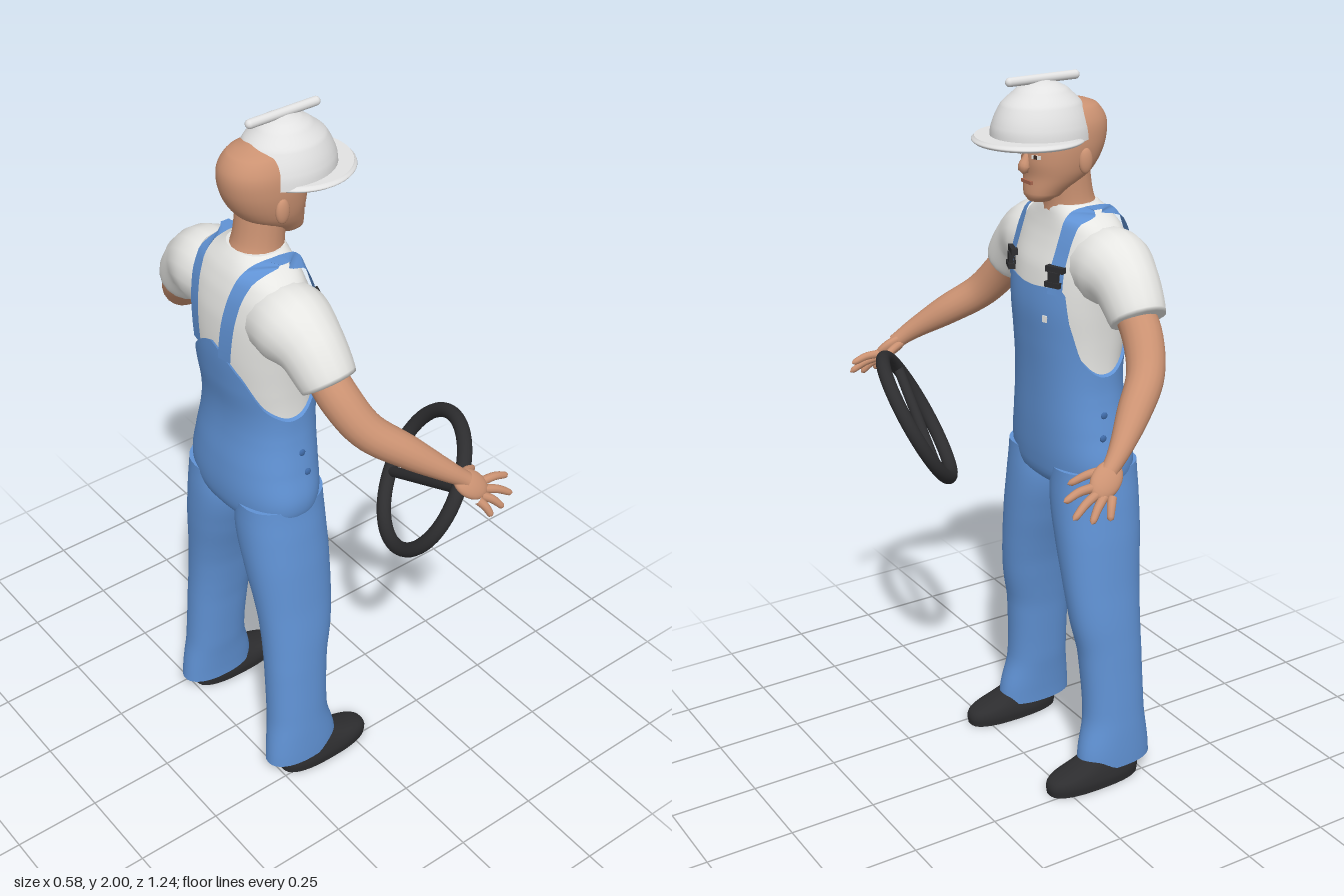
import * as THREE from 'three';
import { mergeVertices } from 'three/addons/utils/BufferGeometryUtils.js';

const mat = (name, color, side = THREE.FrontSide) => {
  const m = new THREE.MeshStandardMaterial({ color, side });
  m.name = name;
  return m;
};
const V = (x, y, z) => new THREE.Vector3(x, y, z);

// Smooth interpolation of table rows, keyed on the first column
function sampleAt(rows, k) {
  let i = 0;
  while (i < rows.length - 2 && k > rows[i + 1][0]) i++;
  const a = rows[Math.max(i - 1, 0)], b = rows[i], c = rows[i + 1], d = rows[Math.min(i + 2, rows.length - 1)];
  const t = THREE.MathUtils.clamp((k - b[0]) / (c[0] - b[0]), 0, 1);
  return b.map((_, n) => 0.5 * (2 * b[n] + (c[n] - a[n]) * t + (2 * a[n] - 5 * b[n] + 4 * c[n] - d[n]) * t * t
    + (3 * b[n] - a[n] - 3 * c[n] + d[n]) * t * t * t));
}

// Closed rings stacked upwards, with flat caps
function skin(nu, nv, fn) {
  const pos = [], idx = [];
  for (let j = 0; j <= nv; j++) for (let i = 0; i < nu; i++) pos.push(...fn((i / nu) * Math.PI * 2, j / nv));
  for (let j = 0; j < nv; j++) for (let i = 0; i < nu; i++) {
    const a = j * nu + i, b = j * nu + (i + 1) % nu;
    idx.push(a, a + nu, b, b, a + nu, b + nu);
  }
  for (const top of [0, 1]) {
    const start = pos.length / 3, c = [0, 0, 0];
    for (let i = 0; i < nu; i++) {
      const p = fn((i / nu) * Math.PI * 2, top);
      pos.push(...p);
      p.forEach((q, n) => { c[n] += q / nu; });
    }
    pos.push(...c);
    for (let i = 0; i < nu; i++) {
      const a = start + i, b = start + (i + 1) % nu;
      idx.push(start + nu, ...(top ? [b, a] : [a, b]));
    }
  }
  const g = new THREE.BufferGeometry();
  g.setAttribute('position', new THREE.Float32BufferAttribute(pos, 3));
  g.setIndex(idx);
  g.computeVertexNormals();
  return g;
}

// Rows are [y, centre x, centre z, radius x, radius z]
function ring([, cx, cz, rx, rz], y, a, p, grow = 0) {
  const f = (v) => Math.sign(v) * Math.abs(v) ** (2 / p);
  return [cx + (rx + grow) * f(Math.cos(a)), y, cz + (rz + grow) * f(Math.sin(a))];
}
function loft(rows, p = 2, nv = rows.length * 4, nu = 40) {
  const lo = rows[0][0], hi = rows[rows.length - 1][0];
  return skin(nu, nv, (a, t) => {
    const y = lo + (hi - lo) * t;
    return ring(sampleAt(rows, y), y, a, p);
  });
}
// x of a lofted surface at a height and sideways offset
function surfX(rows, y, z, p, dir = 1) {
  const [, cx, , rx, rz] = sampleAt(rows, y);
  return cx + dir * rx * Math.max(0, 1 - Math.abs(z / rz) ** p) ** (1 / p);
}

// Tapered tube through points, with a radius for each
function limb(points, radii, n = 28, m = 18) {
  const curve = new THREE.CatmullRomCurve3(points);
  let g = new THREE.TubeGeometry(curve, n, 1, m);
  const table = radii.map((r, i) => [i / (radii.length - 1), r]);
  const pos = g.attributes.position, v = V();
  for (let i = 0; i < pos.count; i++) {
    const u = Math.floor(i / (m + 1)) / n, c = curve.getPointAt(u);
    v.fromBufferAttribute(pos, i).sub(c).multiplyScalar(Math.max(0.0005, sampleAt(table, curve.getUtoTmapping(u))[1])).add(c);
    pos.setXYZ(i, v.x, v.y, v.z);
  }
  g.deleteAttribute('uv');
  g.deleteAttribute('normal');
  g = mergeVertices(g, 1e-5);
  g.computeVertexNormals();
  return g;
}

const TORSO = [[0.86, -0.16, 0, 0.06, 0.1], [0.9, -0.16, 0, 0.11, 0.185], [0.96, -0.16, 0, 0.122, 0.205],
  [1.05, -0.155, 0, 0.122, 0.188], [1.15, -0.147, 0, 0.116, 0.17], [1.22, -0.145, 0, 0.117, 0.165],
  [1.3, -0.148, 0, 0.126, 0.168], [1.4, -0.15, 0, 0.133, 0.178], [1.5, -0.155, 0, 0.125, 0.19],
  [1.57, -0.16, 0, 0.106, 0.19], [1.62, -0.157, 0, 0.09, 0.155], [1.65, -0.15, 0, 0.078, 0.1], [1.665, -0.145, 0, 0.068, 0.075]];
const HEAD = [[1.675, -0.05, 0, 0.03, 0.03], [1.69, -0.06, 0, 0.05, 0.05], [1.74, -0.098, 0, 0.085, 0.078],
  [1.78, -0.113, 0, 0.105, 0.09], [1.83, -0.124, 0, 0.113, 0.095], [1.88, -0.13, 0, 0.107, 0.09],
  [1.92, -0.13, 0, 0.078, 0.066], [1.94, -0.13, 0, 0.01, 0.01]];
const LEG = [[0.05, -0.17, 0.215, 0.116, 0.06], [0.1, -0.17, 0.213, 0.112, 0.062], [0.2, -0.175, 0.205, 0.094, 0.066],
  [0.4, -0.168, 0.19, 0.096, 0.07], [0.5, -0.158, 0.178, 0.106, 0.075], [0.6, -0.155, 0.162, 0.114, 0.081],
  [0.75, -0.158, 0.133, 0.124, 0.098], [0.86, -0.16, 0.112, 0.126, 0.106], [0.95, -0.16, 0.108, 0.122, 0.098]];
const SHOE = [[0, -0.094, 0.222, 0.147, 0.054], [0.025, -0.094, 0.222, 0.149, 0.057], [0.045, -0.1, 0.222, 0.14, 0.054],
  [0.065, -0.125, 0.222, 0.11, 0.048], [0.09, -0.15, 0.22, 0.075, 0.042]];
const DOME = [[1.84, -0.054, 0, 0.138, 0.119], [1.88, -0.053, 0, 0.132, 0.113], [1.93, -0.053, 0, 0.107, 0.092],
  [1.965, -0.055, 0, 0.068, 0.06], [1.98, -0.055, 0, 0.038, 0.034], [1.987, -0.055, 0, 0.004, 0.004]];
const BRIM = [[1.834, -0.016, 0, 0.142, 0.14], [1.84, -0.016, 0, 0.148, 0.147], [1.85, -0.016, 0, 0.14, 0.139]];
// Upper edge of the overalls by angle from the front
const BIB = [[0, 1.455], [0.7, 1.455], [0.85, 1.37], [1.1, 1.265], [1.6, 1.215], [2.2, 1.255], [2.6, 1.35], [3.15, 1.43]];

export function createModel() {
  const root = new THREE.Group();
  root.name = 'worker';
  const flesh = mat('skin', 0xcb9272), blue = mat('denim blue', 0x6092d4, THREE.DoubleSide), white = mat('shirt white', 0xe6e6e3),
    shell = mat('helmet white', 0xe2e2e2), black = mat('black', 0x2d2d2f), dark = mat('brow brown', 0x3b2a22),
    lip = mat('lip', 0xa8664f), seam = mat('button blue', 0x3f6aa6);
  const add = (name, geo, m, parent = root) => {
    const mesh = new THREE.Mesh(geo, m);
    mesh.name = name;
    parent.add(mesh);
    return mesh;
  };
  const ball = (name, m, p, s) => {
    const b = add(name, new THREE.SphereGeometry(1, 20, 14), m);
    b.position.set(...p);
    b.scale.set(...s);
    return b;
  };
  // Small plate lying against a lofted surface
  const plate = (name, m, rows, p, y, z, size, lift, roll = 0) => {
    const b = add(name, new THREE.BoxGeometry(...size), m);
    const x = surfX(rows, y, z, p), [, cx, , rx, rz] = sampleAt(rows, y);
    b.position.set(x + lift, y, z);
    b.rotation.set(roll, -Math.atan2(z / rz ** 2, (x - cx) / rx ** 2), 0);
    return b;
  };

  // Shirt, overalls and neck
  add('shirt', loft(TORSO.slice(3), 2.3, 50, 56), white);
  add('overalls', skin(96, 40, (a, t) => {
    const y = THREE.MathUtils.lerp(0.86, sampleAt(BIB, a > Math.PI ? 2 * Math.PI - a : a)[1], t);
    return ring(sampleAt(TORSO, y), y, a, 2.3, 0.008);
  }), blue);
  add('neck', limb([V(-0.15, 1.6, 0), V(-0.138, 1.67, 0), V(-0.125, 1.76, 0)], [0.085, 0.068, 0.066]), flesh);
  plate('bibLabel', white, TORSO, 2.3, 1.375, -0.08, [0.004, 0.018, 0.014], 0.011);

  // Head and face
  add('head', loft(HEAD, 2.1, 36), flesh);
  add('nose', limb([V(-0.02, 1.812, 0), V(-0.008, 1.785, 0), V(-0.002, 1.763, 0), V(-0.015, 1.753, 0)], [0.006, 0.012, 0.016, 0.004], 12, 12), flesh);
  plate('mouth', lip, HEAD, 2.1, 1.727, 0, [0.008, 0.009, 0.046], 0.001);

  // Hard hat
  add('helmetDome', loft(DOME, 2, 36), shell);
  add('helmetBrim', loft(BRIM, 2, 8, 48), shell);
  const ridge = add('helmetRidge', new THREE.CapsuleGeometry(0.012, 0.196, 6, 14), shell);
  ridge.rotation.z = Math.PI / 2;
  ridge.position.set(-0.058, 1.988, 0);

  for (const s of [1, -1]) {
    const flip = (rows) => rows.map(([y, cx, cz, rx, rz]) => [y, cx, cz * s, rx, rz]);
    const P = (x, y, z) => V(x, y, z * s);

    plate('eyeWhite', white, HEAD, 2.1, 1.797, 0.037 * s, [0.004, 0.01, 0.026], 0);
    plate('iris', dark, HEAD, 2.1, 1.797, 0.036 * s, [0.005, 0.01, 0.011], 0.001);
    plate('eyebrow', dark, HEAD, 2.1, 1.814, 0.04 * s, [0.008, 0.008, 0.04], 0.001, -0.25 * s);
    ball('ear', flesh, [-0.13, 1.785, 0.093 * s], [0.02, 0.034, 0.012]);

    // Legs and shoes
    add('trouserLeg', loft(flip(LEG), 2.2, 40), blue);
    add('shoe', loft(flip(SHOE), 2.5, 16), black);

    // Strap ribbon over the shoulder, with a buckle
    const path = [];
    for (let i = 0; i <= 20; i++) path.push([1.44 + 0.217 * Math.sin((i / 20) * Math.PI / 2), 1, 0.108]);
    for (let i = 0; i <= 20; i++) {
      const t = i / 20;
      path.push([1.657 - 0.267 * (1 - Math.cos(t * Math.PI / 2)), -1, 0.108 - 0.05 * t]);
    }
    const pos = [], idx = [];
    path.forEach(([y, dir, z], i) => {
      for (const e of [-0.021, 0.021]) pos.push(surfX(TORSO, y, z + e, 2.3, dir) + dir * 0.013, y + 0.006, (z + e) * s);
      if (i) idx.push(2 * i - 2, 2 * i - 1, 2 * i, 2 * i, 2 * i - 1, 2 * i + 1);
    });
    if (s < 0) idx.reverse();
    const strap = new THREE.BufferGeometry();
    strap.setAttribute('position', new THREE.Float32BufferAttribute(pos, 3));
    strap.setIndex(idx);
    strap.computeVertexNormals();
    add('strap', strap, blue);
    for (const [y, h, w] of [[1.515, 0.016, 0.054], [1.494, 0.03, 0.03], [1.475, 0.014, 0.046]])
      plate('buckle', black, TORSO, 2.3, y, 0.105 * s, [0.018, h, w], 0.016);
    for (const [x, y] of [[-0.14, 1.11], [-0.13, 1.05]])
      ball('sideButton', seam, [x, y, s * (sampleAt(TORSO, y)[4] + 0.007)], [0.01, 0.01, 0.005]);

    // Sleeve, arm and hand
    add('sleeve', limb([P(-0.16, 1.51, 0.1), P(-0.163, 1.515, 0.18), P(-0.16, 1.487, 0.245), P(-0.153, 1.41, 0.312), P(-0.153, 1.413, 0.309)],
      [0.1, 0.105, 0.088, 0.069, 0.03]), white);
    add('arm', limb([P(-0.155, 1.45, 0.27), P(-0.145, 1.38, 0.34), P(-0.11, 1.305, 0.405), P(-0.03, 1.24, 0.47), P(0.055, 1.175, 0.53), P(0.1, 1.14, 0.552)],
      [0.052, 0.053, 0.049, 0.043, 0.028, 0.022]), flesh);
    const palm = ball('palm', flesh, [0.11, 1.125, 0.558 * s], [1, 1, 1]);
    const along = P(0.15, -0.11, 0.06).normalize();
    const normal = along.clone().cross(P(-0.1, -0.05, 0.055)).normalize();
    const across = normal.clone().cross(along);
    palm.quaternion.setFromRotationMatrix(new THREE.Matrix4().makeBasis(along, across, normal));
    palm.scale.set(0.056, 0.038, 0.019);
    const fingers = [[0.148, 1.113, 0.556, 0.236, 1.098, 0.562], [0.143, 1.1, 0.568, 0.228, 1.06, 0.592],
      [0.13, 1.092, 0.578, 0.185, 1.045, 0.608], [0.112, 1.09, 0.587, 0.137, 1.045, 0.617], [0.09, 1.14, 0.535, 0.18, 1.105, 0.492]];
    fingers.forEach(([ax, ay, az, bx, by, bz], i) => {
      const a = P(ax, ay, az), b = P(bx, by, bz), mid = a.clone().lerp(b, 0.5);
      mid.y += 0.006;
      add(i < 4 ? 'finger' : 'thumb', limb([a, mid, b.clone().lerp(a, 0.08), b], [0.012, 0.011, 0.008, 0.001], 12, 10), flesh);
    });
  }

  // Steering wheel held beside the leg
  const wheel = new THREE.Group();
  wheel.name = 'steeringWheel';
  wheel.position.set(0.143, 0.985, 0.343);
  wheel.quaternion.setFromUnitVectors(V(0, 0, 1), V(0.784, -0.477, 0.396).normalize());
  root.add(wheel);
  add('wheelRim', new THREE.TorusGeometry(0.194, 0.02, 16, 56), black, wheel);
  const spoke = add('wheelSpoke', new THREE.CylinderGeometry(0.015, 0.015, 0.385, 14), black);
  spoke.position.copy(wheel.position);
  spoke.quaternion.setFromUnitVectors(V(0, 1, 0), V(-0.065, 0.2, 0.36).normalize());
  return root;
}
